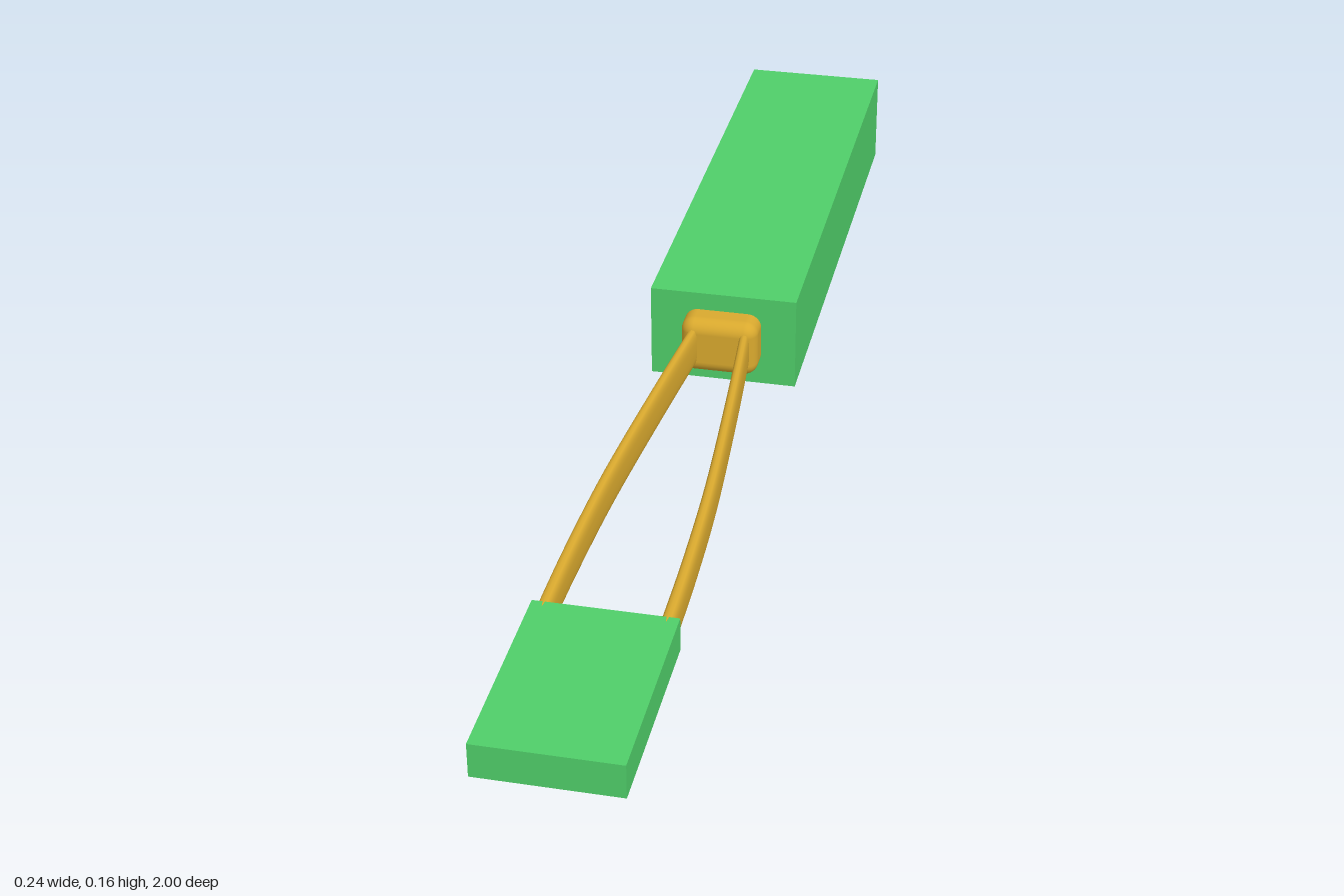
import * as THREE from 'three';
import { RoundedBoxGeometry } from 'three/addons/geometries/RoundedBoxGeometry.js';

const green = new THREE.MeshStandardMaterial({ color: 0x4fce69 });
green.name = 'green';
const gold = new THREE.MeshStandardMaterial({ color: 0xd9a92e });
gold.name = 'gold';

// Bowed prong with a tall rounded section, lofted from back to front
function prongGeometry(side) {
  const rows = 24, sides = 20, positions = [], index = [];
  const path = new THREE.SplineCurve([
    new THREE.Vector2(0.04, -0.1),
    new THREE.Vector2(0.058, 0.1),
    new THREE.Vector2(0.077, 0.35),
    new THREE.Vector2(0.085, 0.55),
    new THREE.Vector2(0.087, 0.71),
  ]);
  const round = (v) => Math.sign(v) * Math.pow(Math.abs(v), 0.7);
  for (let i = 0; i <= rows; i++) {
    const t = i / rows, p = path.getPoint(t);
    const halfWidth = 0.009 + 0.002 * t;
    const halfHeight = 0.0325 - 0.0075 * t * t;
    for (let j = 0; j < sides; j++) {
      const a = (j / sides) * Math.PI * 2;
      positions.push(side * p.x + halfWidth * round(Math.cos(a)), 0.0795 + halfHeight * round(Math.sin(a)), p.y);
      if (i === rows) continue;
      const k = (j + 1) % sides, r = i * sides, n = r + sides;
      index.push(r + j, r + k, n + j, r + k, n + k, n + j);
    }
  }
  const geometry = new THREE.BufferGeometry();
  geometry.setAttribute('position', new THREE.Float32BufferAttribute(positions, 3));
  geometry.setIndex(index);
  geometry.computeVertexNormals();
  return geometry;
}

export function createModel() {
  const model = new THREE.Group();
  const add = (name, geometry, material, x = 0, y = 0, z = 0) => {
    const mesh = new THREE.Mesh(geometry, material);
    mesh.name = name;
    mesh.position.set(x, y, z);
    model.add(mesh);
  };

  // Large rear block and thin front block
  add('rearBlock', new THREE.BoxGeometry(0.24, 0.157, 0.885), green, 0, 0.0785, -0.5575);
  add('frontBlock', new THREE.BoxGeometry(0.208, 0.053, 0.315), green, 0, 0.0785, 0.8425);

  // Rounded collar where the prongs meet the rear block
  add('collar', new RoundedBoxGeometry(0.126, 0.095, 0.1, 5, 0.022), gold, 0, 0.0795, -0.12);

  // Pair of prongs
  add('leftProng', prongGeometry(1), gold);
  add('rightProng', prongGeometry(-1), gold);
  return model;
}
